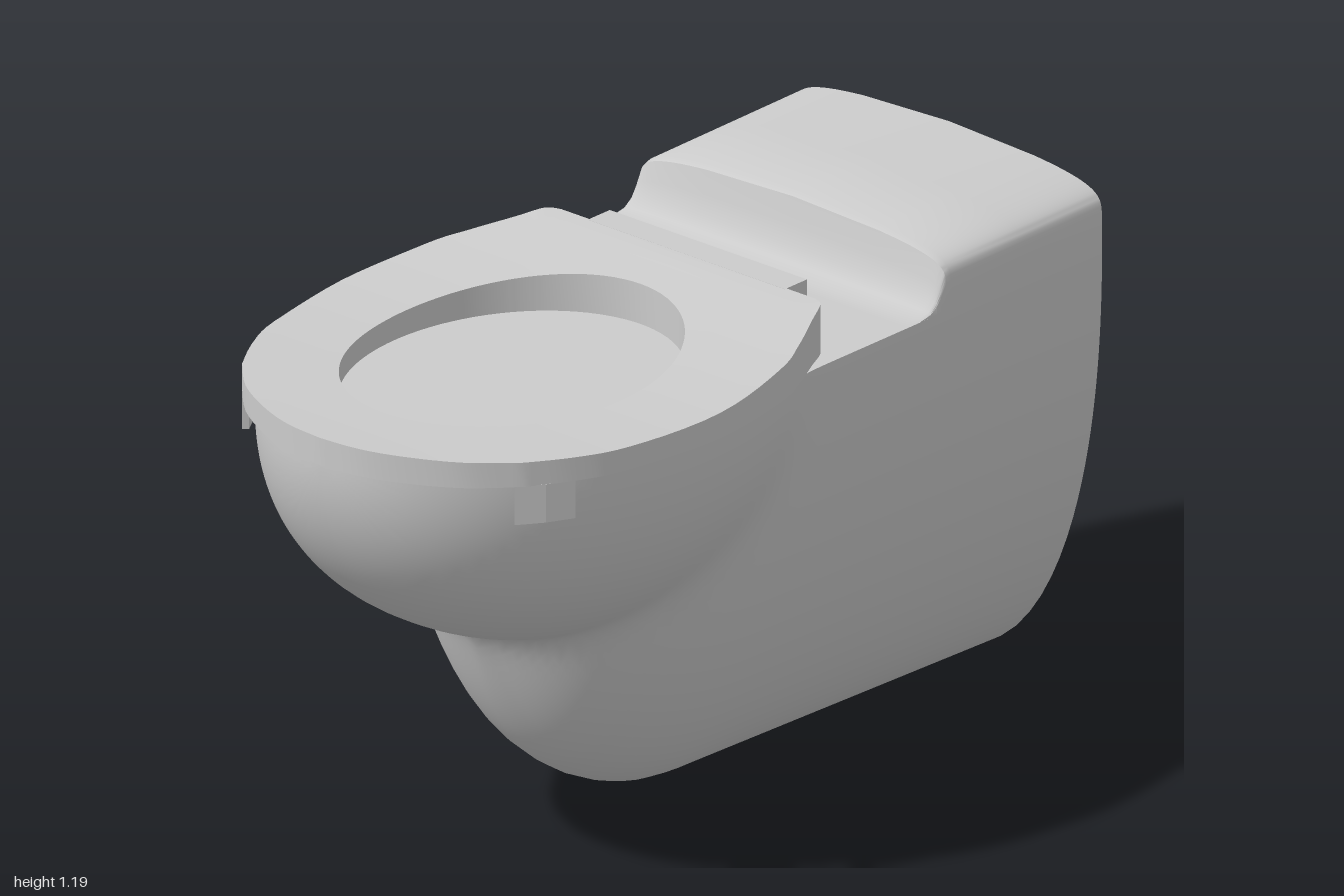
import * as THREE from 'three';
import { toCreasedNormals } from 'three/addons/utils/BufferGeometryUtils.js';

const RIM = 1.035; // height of the flat rim
const P = 2.2;     // roundness of the ceramic sections
const grey = new THREE.MeshStandardMaterial({ color: 0xcccccc });
const greyDouble = new THREE.MeshStandardMaterial({ color: 0xcccccc, side: THREE.DoubleSide });

function addMesh(group, name, geometry, material = grey) {
  const mesh = new THREE.Mesh(geometry, material);
  mesh.name = name;
  group.add(mesh);
}

// Linear interpolation in a list of [position, value]
function lookup(table, t) {
  for (let i = 1; i < table.length; i++) {
    const [a, va] = table[i - 1], [b, vb] = table[i];
    if (t <= b) return va + (vb - va) * Math.max(0, (t - a) / (b - a));
  }
  return table[table.length - 1][1];
}

// Skin over a list of closed rings of [x, y, z]
function loft(rings, closed, crease) {
  const n = rings[0].length, index = [];
  const count = closed ? rings.length : rings.length - 1;
  for (let i = 0; i < count; i++) {
    const a = i * n, b = ((i + 1) % rings.length) * n;
    for (let j = 0; j < n; j++) {
      const k = (j + 1) % n;
      index.push(a + j, a + k, b + k, a + j, b + k, b + j);
    }
  }
  const geometry = new THREE.BufferGeometry();
  geometry.setAttribute('position', new THREE.Float32BufferAttribute(rings.flat(2), 3));
  geometry.setIndex(index);
  return toCreasedNormals(geometry, crease);
}

// Height of the cistern housing above the rim along z
const housing = [[-1, 0.155], [-0.52, 0.148], [-0.505, 0.14], [-0.49, 0.085],
  [-0.475, 0.042], [-0.455, 0.014], [-0.42, 0]];

// Distance from the section centre to a superellipse of half-width w and depth d
function reach(angle, w, d) {
  const c = Math.abs(Math.cos(angle)) / Math.max(w, 1e-4);
  const s = Math.abs(Math.sin(angle)) / Math.max(d, 1e-4);
  return (c ** P + s ** P) ** (-1 / P);
}

// Cross-section at z: pedestal blended with bowl below the rim, housing above it
function section(z) {
  const foot = z <= 0 ? 1 : Math.max(0, 1 - (z / 0.56) ** 2.3) ** (1 / 2.3);
  const depth = 1.009 + 0.025 * Math.max(0, -z);
  const u = (z - 0.33) / (z > 0.33 ? 0.665 : 0.7);
  const bowl = Math.sqrt(Math.max(0, 1 - u * u));
  const radius = (a) => {
    const n = 8 + 40 * Math.abs(Math.cos(a)); // softer blend under the bowl
    return (reach(a, 0.435 * foot, depth * foot) ** n
      + reach(a, 0.512 * bowl, 0.552 * bowl) ** n) ** (1 / n);
  };
  const w = radius(0), h = lookup(housing, z), points = [];
  const N = 32;
  for (let i = 0; i < N; i++) {
    const a = Math.PI * i / N, c = Math.cos(a);
    const k = Math.sign(c) * Math.abs(c) ** 0.25;
    points.push([w * k, RIM + h * Math.sin(a) ** 0.25 * (1 - 0.2 * k * k), z]);
  }
  for (let i = 0; i < 2 * N; i++) {
    const a = Math.PI * (1 + i / (2 * N)), r = radius(a);
    points.push([r * Math.cos(a), RIM + r * Math.sin(a), z]);
  }
  return points;
}

// Ceramic body from the wall to the front
function bodyGeometry() {
  const zs = [-1, -0.75, ...housing.slice(1).map(([z]) => z)];
  for (let z = -0.38; z < 0.295; z += 0.04) zs.push(z);
  for (let z = 0.3; z < 0.595; z += 0.0125) zs.push(z);
  for (let i = 0; i <= 18; i++) zs.push(0.6 + 0.395 * Math.sin(Math.PI / 2 * i / 18));
  return loft(zs.map(section), false, 0.6);
}

// Height of the dished seat top along z
function seatTop(z) {
  const t = z - 0.55;
  return t < 0 ? Math.min(1.15, 1.09 + 0.06 * (t / 0.7) ** 2) : 1.09 + 0.01 * (t / 0.45) ** 2;
}

// Seat ring: a slice at each outline point, running in towards the oval opening
function seatGeometry() {
  const curve = (points, n) => new THREE.SplineCurve(points.map(([x, z]) => new THREE.Vector2(x, z))).getPoints(n);
  const back = curve([[0, -0.17], [0.36, -0.17]], 10);
  const side = curve([[0.36, -0.17], [0.39, -0.155], [0.42, -0.095], [0.467, 0],
    [0.505, 0.1], [0.537, 0.33], [0.505, 0.58], [0.46, 0.7], [0.4, 0.8]], 40);
  const front = curve([[0.4, 0.8], [0.31, 0.889], [0.2, 0.953], [0.1, 0.989], [0, 1]], 16);
  const half = [...back, ...side.slice(1), ...front.slice(1)];
  const mirrored = half.slice(1, -1).reverse().map((p) => new THREE.Vector2(-p.x, p.y));
  const bottom = RIM + 0.002, steps = 5;
  const slices = [...half, ...mirrored].map((p) => {
    const a = Math.atan2((p.y - 0.39) / 0.408, p.x / 0.33);
    const inner = new THREE.Vector2(0.33 * Math.cos(a), 0.39 + 0.408 * Math.sin(a));
    const ring = [[p.x, bottom, p.y]];
    for (let i = 0; i <= steps; i++) {
      const q = p.clone().lerp(inner, i / steps);
      ring.push([q.x, seatTop(q.y), q.y]);
    }
    ring.push([inner.x, bottom, inner.y]);
    return ring;
  });
  return loft(slices, true, 0.5);
}

export function createModel() {
  const group = new THREE.Group();
  group.name = 'wallHungToilet';
  addMesh(group, 'bowlAndHousing', bodyGeometry());

  // Flat wall face with the drain and the water inlet
  const face = new THREE.Shape(section(-1).map(([x, y]) => new THREE.Vector2(x, y)));
  for (const [name, y, r, depth] of [['drainPipe', 0.53, 0.217, 0.7], ['inletPipe', 0.91, 0.08, 0.4]]) {
    const hole = new THREE.Path();
    hole.absarc(0, y, r, 0, Math.PI * 2, true);
    face.holes.push(hole);
    const pipe = new THREE.CylinderGeometry(r, r, depth, 48, 1, true);
    pipe.rotateX(Math.PI / 2).translate(0, y, -1 + depth / 2);
    addMesh(group, name, pipe, greyDouble);
    const end = new THREE.CircleGeometry(r, 48).rotateY(Math.PI).translate(0, y, -1 + depth);
    addMesh(group, name + 'End', end);
  }
  addMesh(group, 'wallFace', new THREE.ShapeGeometry(face, 24).rotateY(Math.PI).translate(0, 0, -1));

  // Seat with its hinge block
  addMesh(group, 'seat', seatGeometry());
  addMesh(group, 'hingeBlock', new THREE.BoxGeometry(0.56, 0.113, 0.07).translate(0, 1.0935, -0.2));

  // Small tabs hanging from the seat over the rim
  for (const s of [1, -1]) {
    const outline = [[0.458, 0.7], [0.427, 0.76], [0.387, 0.815], [0.377, 0.803], [0.412, 0.745], [0.44, 0.69]];
    const tab = new THREE.Shape(outline.map(([x, z]) => new THREE.Vector2(x * s, -z)));
    const geometry = new THREE.ExtrudeGeometry(tab, { depth: 0.088, bevelEnabled: false });
    geometry.rotateX(-Math.PI / 2).translate(0, 0.95, 0);
    addMesh(group, s > 0 ? 'leftSeatTab' : 'rightSeatTab', geometry);
  }
  return group;
}
